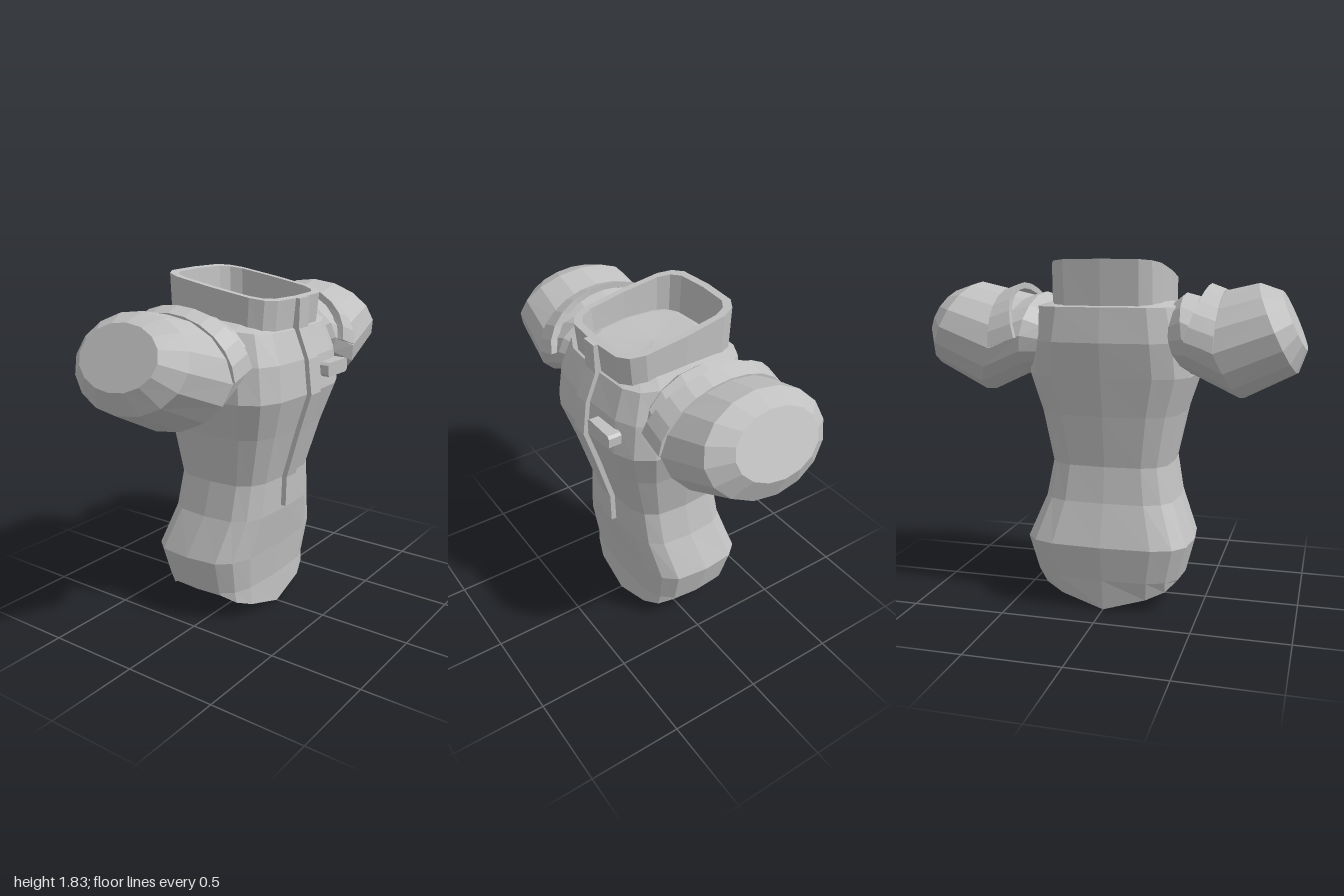
import * as THREE from 'three';

// Skin a list of equal-sized point rings with flat facets and optional end caps.
function loft(rings, bottom, top) {
  const n = rings[0].length, pos = [];
  const tri = (...pts) => pts.forEach((p) => pos.push(...p));
  const centre = (r) => [0, 1, 2].map((k) => r.reduce((s, p) => s + p[k], 0) / n);
  const first = rings[0], last = rings[rings.length - 1];
  const cb = bottom || centre(first), ct = top || centre(last);
  for (let j = 0; j < n; j++) {
    const k = (j + 1) % n;
    for (let i = 0; i < rings.length - 1; i++) {
      const a = rings[i], b = rings[i + 1];
      tri(a[j], b[j], b[k]);
      tri(a[j], b[k], a[k]);
    }
    if (bottom !== false) tri(cb, first[j], first[k]);
    if (top !== false) tri(ct, last[k], last[j]);
  }
  const g = new THREE.BufferGeometry();
  g.setAttribute('position', new THREE.Float32BufferAttribute(pos, 3));
  g.computeVertexNormals();
  return g;
}

// Rounded-rectangle ring of 16 points; yAt gives the height at (angle sine, z, index).
function ring(halfWidth, front, back, power, yAt) {
  const soft = (v) => (Math.abs(v) < 1e-9 ? 0 : Math.sign(v) * Math.abs(v) ** (2 / power));
  return Array.from({ length: 16 }, (_, j) => {
    const a = (j / 16) * Math.PI * 2, s = Math.sin(a);
    const z = (front + back) / 2 + ((front - back) / 2) * soft(s);
    return [halfWidth * soft(Math.cos(a)), yAt(s, z, j), z];
  });
}

export function createModel() {
  const model = new THREE.Group();
  const fabric = new THREE.MeshStandardMaterial({ color: 0xc0c0c0 });
  fabric.name = 'grey fabric';
  const add = (name, geometry, parent = model) => {
    const m = new THREE.Mesh(geometry, fabric);
    m.name = name;
    parent.add(m);
    return m;
  };

  // Torso: hem dips to a point at the front and back centre
  const hem = [0.16, 0.155, 0.11, 0.07, 0];
  const hemRing = ring(0.395, 0.2, -0.32, 3.5, (s, z, j) => hem[j % 8 > 4 ? 8 - (j % 8) : j % 8]);
  const levels = [ // y, half width, front z, back z
    [0.17, 0.4, 0.195, -0.345], [0.36, 0.45, 0.215, -0.38], [0.58, 0.36, 0.25, -0.31],
    [0.77, 0.325, 0.257, -0.285], [1.04, 0.38, 0.335, -0.32], [1.24, 0.445, 0.4, -0.355],
    [1.42, 0.43, 0.38, -0.385],
  ];
  const torso = [hemRing, ...levels.map(([y, w, f, b]) => ring(w, f, b, 3.6, () => y))];
  torso.push(ring(0.385, 0.32, -0.365, 3.8, (s) => 1.595 - 0.03 * Math.max(0, s)));
  torso.push(ring(0.24, 0.23, -0.27, 3.8, (s) => 1.635 - 0.035 * Math.max(0, s)));
  add('torso', loft(torso, [0, 0.07, -0.2]));

  // Standing collar, open inside, rim rising to the back
  const rim = (s, z) => 1.72 + 0.11 * (0.32 - z) / 0.68;
  add('collar', loft([
    ring(0.295, 0.305, -0.345, 4.5, () => 1.53),
    ring(0.295, 0.325, -0.36, 4.5, rim),
    ring(0.258, 0.288, -0.323, 4.5, rim),
    ring(0.25, 0.27, -0.31, 4.5, () => 1.57),
  ], false, false));

  // Front placket following the chest
  const path = [[0.605, 0.278], [0.77, 0.282], [1.04, 0.36], [1.24, 0.423],
    [1.42, 0.402], [1.57, 0.342], [1.72, 0.345]];
  add('placket', loft(path.map(([y, z]) => [
    [-0.045, y, z - 0.04], [0.045, y, z - 0.04], [0.045, y, z], [-0.045, y, z]])));

  // Chest tab with clipped corners
  const [w, h, c] = [0.098, 0.037, 0.013];
  const outline = new THREE.Shape([[-w, -h + c], [-w + c, -h], [w - c, -h], [w, -h + c],
    [w, h - c], [w - c, h], [-w + c, h], [-w, h - c]].map(([x, y]) => new THREE.Vector2(x, y)));
  const tab = add('chestTab', new THREE.ExtrudeGeometry(outline, { depth: 0.07, bevelEnabled: false }));
  tab.position.set(0.205, 1.34, 0.36);

  // Puffed sleeve: elliptical rings, each leaning inwards by its own tilt
  const sleeve = loft([ // centre x, centre y, radius up, radius z, tilt
    [0.34, 1.43, 0.175, 0.28, 0.2], [0.415, 1.45, 0.215, 0.345, 0.16],
    [0.57, 1.385, 0.285, 0.37, 0.43], [0.855, 1.488, 0.247, 0.342, 0.43],
    [0.932, 1.528, 0.162, 0.235, 0.43],
  ].map(([x, y, up, rz, tilt]) => Array.from({ length: 16 }, (_, j) => {
    const a = (j / 16) * Math.PI * 2, s = Math.sin(a) * up;
    return [x - Math.sin(tilt) * s, y + Math.cos(tilt) * s, rz * Math.cos(a)];
  })));

  // Strap over the upper half of the sleeve
  const edge = (x0, y0, x1, y1, t, k) => [
    x0 + (x1 - x0) * Math.sin(t), y0 + (y1 - y0) * Math.sin(t) * k, 0.38 * k * Math.cos(t)];
  const strap = loft(Array.from({ length: 13 }, (_, i) => {
    const t = (i / 12) * Math.PI;
    const inner = (k) => edge(0.43, 1.44, 0.51, 1.71, t, k);
    const outer = (k) => edge(0.57, 1.392, 0.585, 1.682, t, k);
    return [inner(0.88), outer(0.88), outer(1), inner(1)];
  }));

  // Both arms; each is symmetric front to back, so a half turn mirrors it
  for (const [side, turn] of [['left', 0], ['right', Math.PI]]) {
    const arm = new THREE.Group();
    arm.name = side + 'Arm';
    arm.position.z = -0.05;
    arm.rotation.y = turn;
    add(side + 'Sleeve', sleeve, arm);
    add(side + 'ShoulderStrap', strap, arm);
    model.add(arm);
  }
  return model;
}
